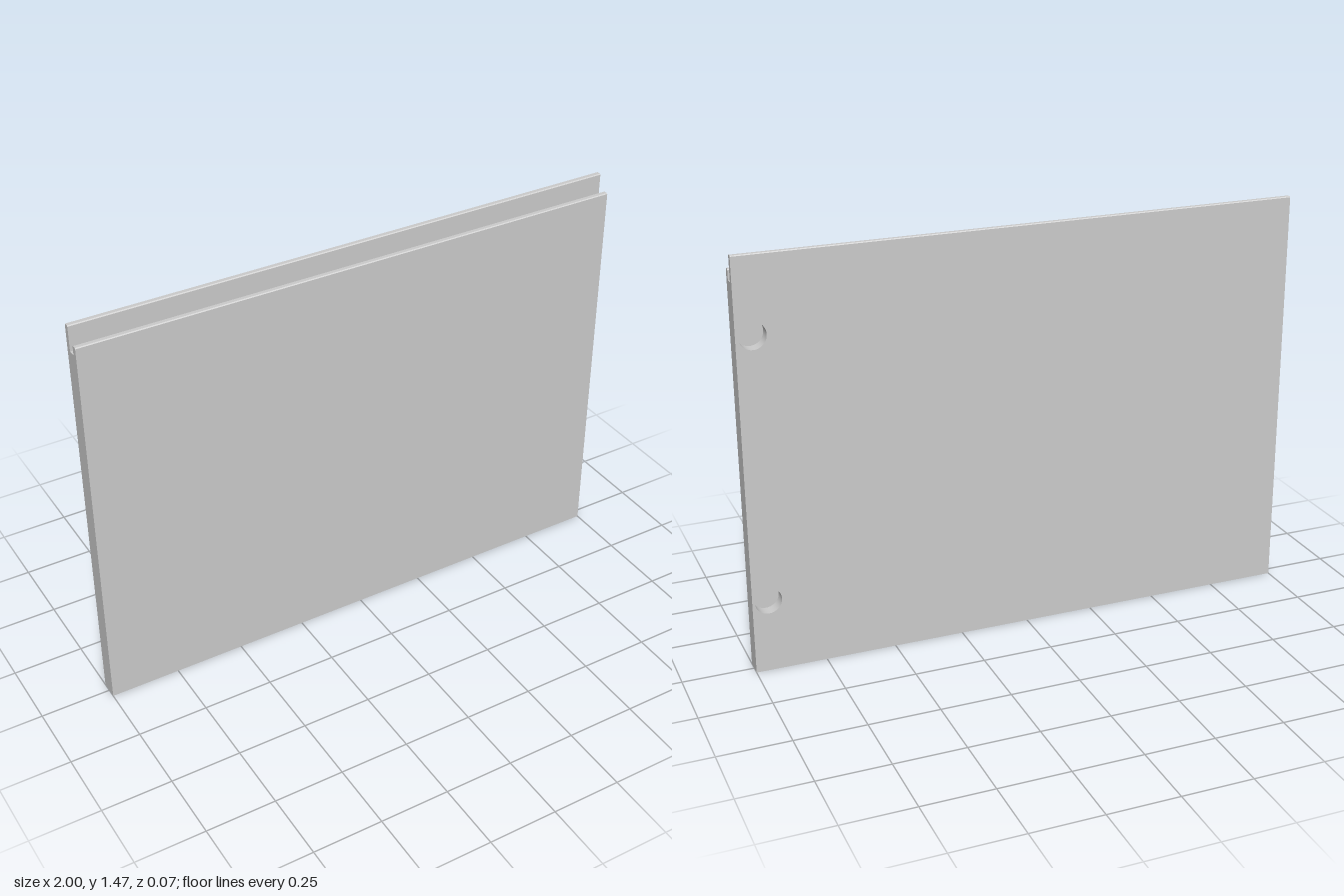
import * as THREE from 'three';

const HALF_W = 1, BACK = -0.033, FRONT = 0.033;
const TOP_BACK = 1.473, TOP_FRONT = 1.418, GROOVE = 1.383;
const C = 0.003; // tiny chamfer on the lips
const HOLE = { x: 0.944, ys: [0.263, 1.204], r: 0.047, depth: 0.045 };

// Cross-section as [z, y], from the back bottom round the front to the back top
const profile = [
  [BACK, 0], [FRONT, 0],
  [FRONT, TOP_FRONT - C], [FRONT - C, TOP_FRONT], [0.0135 + C, TOP_FRONT], [0.0135, TOP_FRONT - C],
  [0.0135, GROOVE], [-0.0135, GROOVE],
  [-0.0135, TOP_BACK - C], [-0.0135 - C, TOP_BACK], [BACK + C, TOP_BACK], [BACK, TOP_BACK - C],
];

// Sweep the open cross-section across the width
function sweptSurface() {
  const pos = [];
  for (let i = 0; i < profile.length - 1; i++) {
    const [az, ay] = profile[i], [bz, by] = profile[i + 1];
    const a = [-HALF_W, ay, az], b = [HALF_W, ay, az], c = [HALF_W, by, bz], d = [-HALF_W, by, bz];
    pos.push(...a, ...b, ...c, ...a, ...c, ...d);
  }
  const geo = new THREE.BufferGeometry();
  geo.setAttribute('position', new THREE.Float32BufferAttribute(pos, 3));
  geo.computeVertexNormals();
  return geo;
}

// End face at x = side, facing outward
function endFace(side) {
  const shape = new THREE.Shape(profile.map(([z, y]) => new THREE.Vector2(-side * z, y)));
  return new THREE.ShapeGeometry(shape).rotateY(side * Math.PI / 2).translate(side * HALF_W, 0, 0);
}

// Back face with the two round openings
function backFace() {
  const h = TOP_BACK - C;
  const shape = new THREE.Shape([[-HALF_W, 0], [HALF_W, 0], [HALF_W, h], [-HALF_W, h]]
    .map(([x, y]) => new THREE.Vector2(x, y)));
  for (const y of HOLE.ys) {
    shape.holes.push(new THREE.Path().absarc(-HOLE.x, y, HOLE.r, 0, Math.PI * 2, true));
  }
  return new THREE.ShapeGeometry(shape, 24).rotateY(Math.PI).translate(0, 0, BACK);
}

export function createModel() {
  const model = new THREE.Group();
  model.name = 'groovedPanel';
  const grey = new THREE.MeshStandardMaterial({ color: 0xcccccc });
  const inside = new THREE.MeshStandardMaterial({ color: 0xcccccc, side: THREE.BackSide });
  const add = (parent, name, geo, mat = grey) => {
    const mesh = new THREE.Mesh(geo, mat);
    mesh.name = name;
    parent.add(mesh);
  };

  // Board
  add(model, 'boardFrontAndGroove', sweptSurface());
  add(model, 'leftEnd', endFace(1));
  add(model, 'rightEnd', endFace(-1));
  add(model, 'boardBack', backFace());

  // Blind round recesses in the back
  HOLE.ys.forEach((y, i) => {
    const recess = new THREE.Group();
    recess.name = i ? 'upperRecess' : 'lowerRecess';
    recess.position.set(HOLE.x, y, BACK);
    add(recess, 'recessWall', new THREE.CylinderGeometry(HOLE.r, HOLE.r, HOLE.depth, 48, 1, true)
      .rotateX(Math.PI / 2).translate(0, 0, HOLE.depth / 2), inside);
    add(recess, 'recessFloor', new THREE.CircleGeometry(HOLE.r, 48)
      .rotateY(Math.PI).translate(0, 0, HOLE.depth));
    model.add(recess);
  });
  return model;
}
